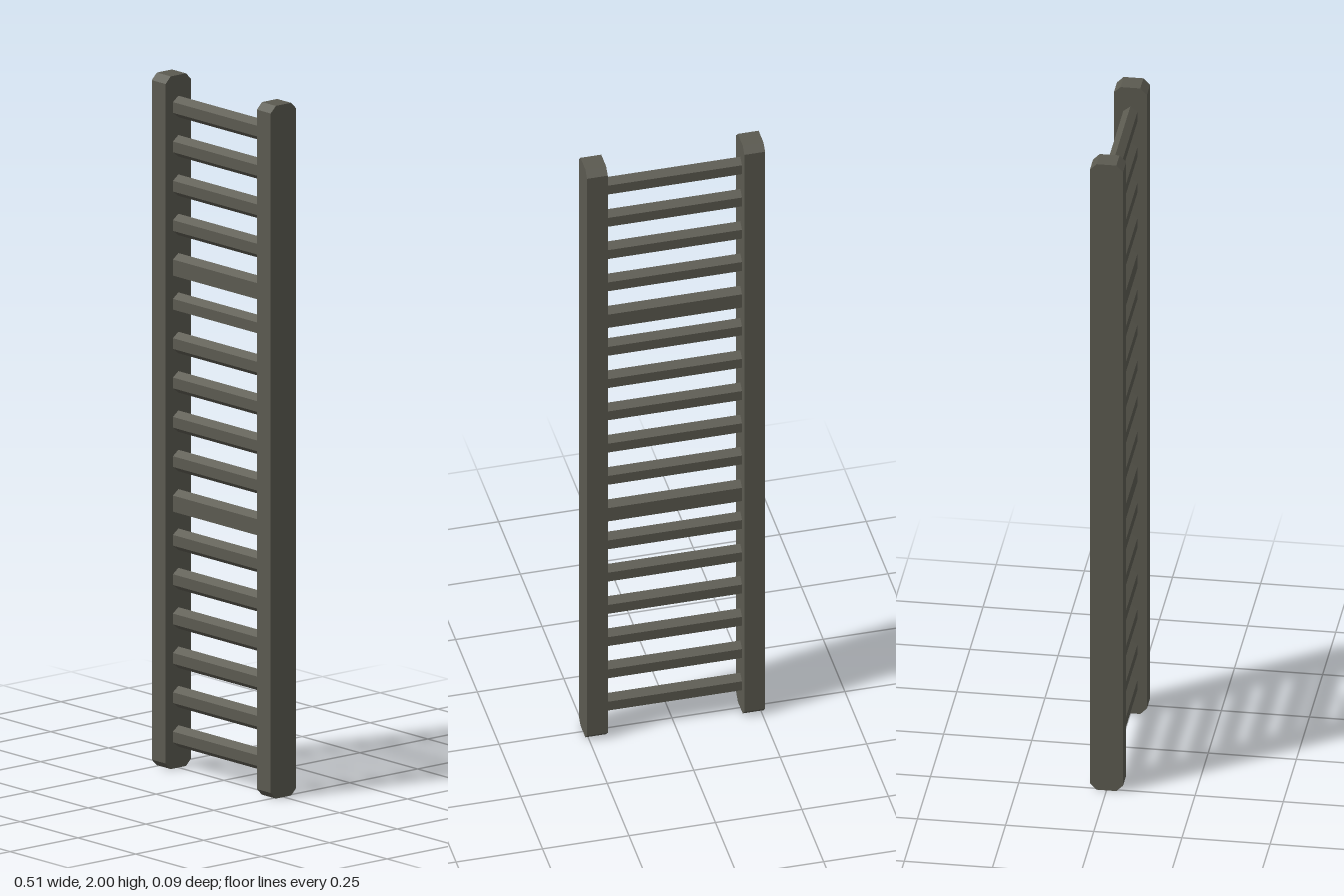
import * as THREE from 'three';

const darkMetal = new THREE.MeshStandardMaterial({ color: 0x5b5a50 });
darkMetal.name = 'darkMetal';

// Extrude a depth/height outline sideways along x, centred on x = 0
function sidewaysBar(points, length) {
  const shape = new THREE.Shape(points.map(([z, y]) => new THREE.Vector2(z, y)));
  const geometry = new THREE.ExtrudeGeometry(shape, { depth: length, bevelEnabled: false });
  geometry.translate(0, 0, -length / 2);
  geometry.rotateY(Math.PI / 2);
  return geometry;
}

export function createModel() {
  const ladder = new THREE.Group();
  ladder.name = 'ladder';

  // Side rails with chamfered ends
  const d = 0.047, c = 0.019;
  const railGeometry = sidewaysBar([
    [-d + c, 0], [d - c, 0], [d, c], [d, 2 - c],
    [d - c, 2], [-d + c, 2], [-d, 2 - c], [-d, c],
  ], 0.06);
  for (const [name, side] of [['leftRail', 1], ['rightRail', -1]]) {
    const rail = new THREE.Mesh(railGeometry, darkMetal);
    rail.name = name;
    rail.position.x = side * 0.2275;
    ladder.add(rail);
  }

  // Rungs: narrow hexagons, a few with squared or cut-off undersides
  const w = 0.02, h = 0.031, s = h / 2, span = 0.4;
  const upper = [[w, s], [0, h], [-w, s]];
  const hexRung = sidewaysBar([...upper, [-w, -s], [0, -h], [w, -s]], span);
  const squaredRung = sidewaysBar([...upper, [-w, -h], [w, -h]], span);
  const cutRung = sidewaysBar([...upper, [-w, -s], [w, -s]], span);
  const special = { 4: squaredRung, 5: cutRung, 10: squaredRung };

  for (let i = 0; i < 17; i++) {
    const rung = new THREE.Mesh(special[i] ?? hexRung, darkMetal);
    rung.name = `rung${i + 1}`;
    rung.position.y = 1.909 - i * 0.1136;
    ladder.add(rung);
  }
  return ladder;
}
